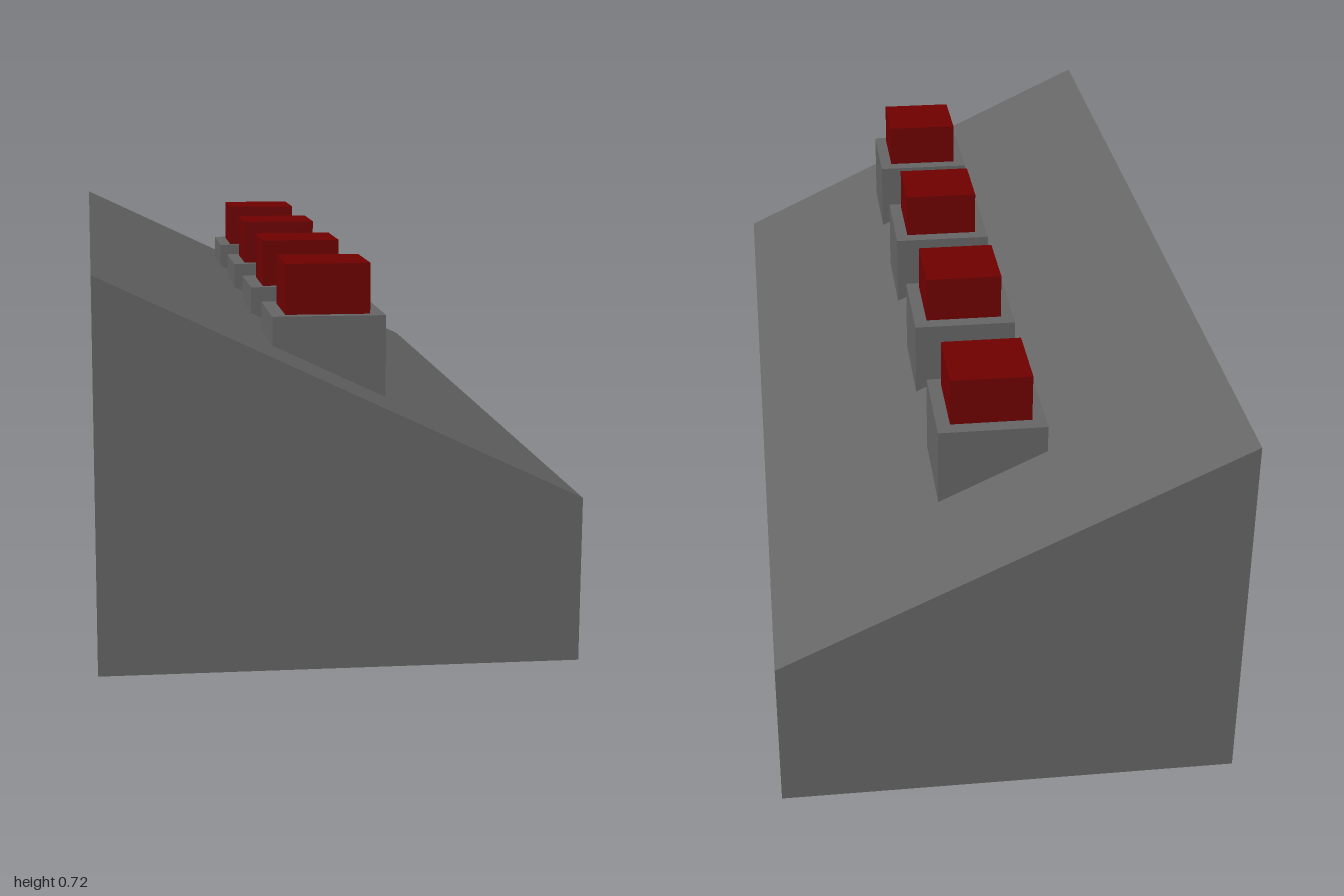
import * as THREE from 'three';

export function createModel() {
  const model = new THREE.Group();
  const darkGrey = new THREE.MeshStandardMaterial({ color: 0x666666, flatShading: true });
  const red = new THREE.MeshStandardMaterial({ color: 0x700000, flatShading: true });

  function add(parent, name, geometry, material, y = 0, z = 0) {
    const mesh = new THREE.Mesh(geometry, material);
    mesh.name = name;
    mesh.position.set(0, y, z);
    parent.add(mesh);
  }

  // Sloped console body: side profile extruded along z
  const profile = new THREE.Shape([
    new THREE.Vector2(-0.437, 0),
    new THREE.Vector2(0.437, 0),
    new THREE.Vector2(0.437, 0.304),
    new THREE.Vector2(-0.437, 0.718),
  ]);
  const body = new THREE.ExtrudeGeometry(profile, { depth: 2, bevelEnabled: false });
  body.translate(0, 0, -1);
  add(model, 'consoleBody', body, darkGrey);

  // Row of four buttons, each a red cap on a level base sunk into the slope
  const baseGeometry = new THREE.BoxGeometry(0.212, 0.154, 0.212);
  const capGeometry = new THREE.BoxGeometry(0.159, 0.095, 0.159);
  for (let i = 0; i < 4; i++) {
    const button = new THREE.Group();
    button.name = `button${i + 1}`;
    button.position.z = 0.708 - i * 0.4385;
    add(button, 'buttonBase', baseGeometry, darkGrey, 0.538);
    add(button, 'buttonCap', capGeometry, red, 0.6625, 0.004);
    model.add(button);
  }
  return model;
}
